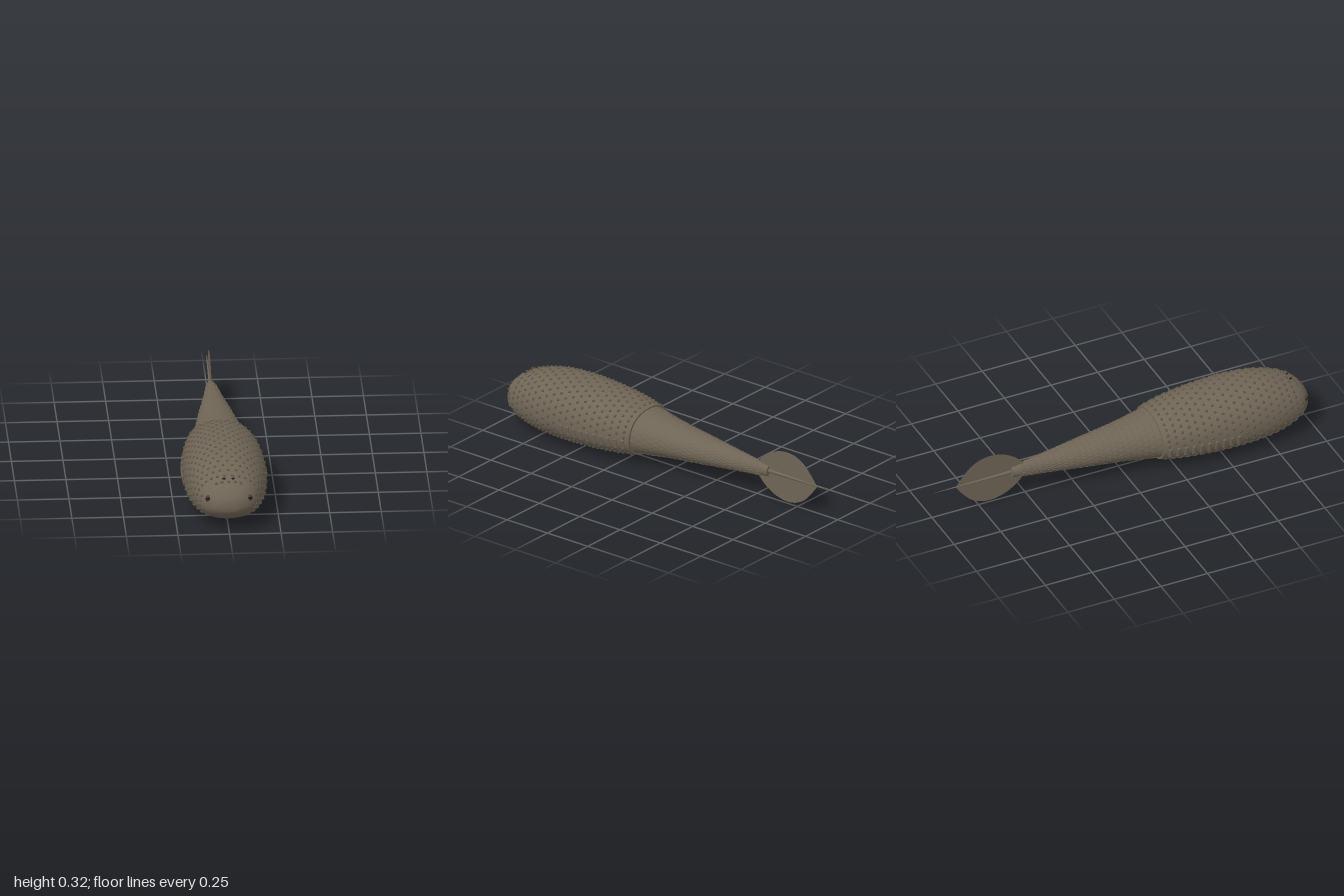
import * as THREE from 'three';
import { mergeGeometries } from 'three/addons/utils/BufferGeometryUtils.js';

const mat = (name, color, side = THREE.FrontSide) => {
  const m = new THREE.MeshStandardMaterial({ color, side });
  m.name = name;
  return m;
};

// Lofted surface from rows of [z, half width, top, bottom]
function makeSurface(rows, power) {
  const spline = pts => new THREE.CatmullRomCurve3(pts, false, 'catmullrom', 0.5);
  const upper = spline(rows.map(r => new THREE.Vector3(r[0], r[1], r[2])));
  const lower = spline(rows.map(r => new THREE.Vector3(r[0], r[3], 0)));
  const bend = v => Math.sign(v) * Math.abs(v) ** power;
  const point = (u, a) => {
    const p = upper.getPoint(u), low = lower.getPoint(u).y, mid = 0.14;
    const s = bend(Math.sin(a));
    return new THREE.Vector3(p.y * bend(Math.cos(a)), mid + s * (s > 0 ? p.z - mid : mid - low), p.x);
  };
  const findU = z => {
    let a = 0, b = 1;
    for (let i = 0; i < 30; i++) {
      const m = (a + b) / 2;
      if (upper.getPoint(m).x > z) a = m; else b = m;
    }
    return a;
  };
  // Orientation on the skin: x around, y backwards, z outwards
  const frame = (u, a) => {
    const e = 0.004;
    const around = point(u, a - e).sub(point(u, a + e)).normalize();
    const back = point(Math.min(1, u + e), a).sub(point(Math.max(0, u - e), a)).normalize();
    const out = around.clone().cross(back).normalize();
    back.copy(out).cross(around);
    return new THREE.Matrix4().makeBasis(around, back, out).setPosition(point(u, a));
  };
  return { point, findU, frame };
}

function loft(surface, nu, na) {
  const pos = [], idx = [];
  const add = p => pos.push(p.x, p.y, p.z) / 3 - 1;
  for (let i = 0; i <= nu; i++)
    for (let j = 0; j < na; j++) add(surface.point(i / nu, j / na * Math.PI * 2));
  for (let i = 0; i < nu; i++)
    for (let j = 0; j < na; j++) {
      const k = (j + 1) % na, a = i * na, b = a + na;
      idx.push(a + j, b + j, a + k, b + j, b + k, a + k);
    }
  // Flat rear cap
  const ring = pos.length / 3;
  for (let j = 0; j < na; j++) add(surface.point(1, j / na * Math.PI * 2));
  const end = surface.point(1, 0);
  const centre = add(new THREE.Vector3(0, 0.14, end.z));
  for (let j = 0; j < na; j++) idx.push(ring + (j + 1) % na, ring + j, centre);
  const g = new THREE.BufferGeometry();
  g.setAttribute('position', new THREE.Float32BufferAttribute(pos, 3));
  g.setIndex(idx);
  g.computeVertexNormals();
  return g;
}

export function createModel() {
  const model = new THREE.Group();
  const skin = mat('skin', 0x6f6556);
  const finMat = mat('fin skin', 0x6f6556, THREE.DoubleSide);
  const bumpMat = mat('tubercle brown', 0x5e5649);
  const dark = mat('dark opening', 0x1c1210);
  const eyeMat = mat('eye brown', 0x4a3a32);
  const add = (name, geo, m) => {
    const mesh = new THREE.Mesh(geo, m);
    mesh.name = name;
    model.add(mesh);
    return mesh;
  };

  // Head shield and tail
  const head = makeSurface([
    [1.0, 0.001, 0.141, 0.139], [0.994, 0.05, 0.175, 0.112], [0.975, 0.09, 0.207, 0.088],
    [0.945, 0.124, 0.236, 0.066], [0.9, 0.15, 0.262, 0.045], [0.82, 0.176, 0.29, 0.02],
    [0.72, 0.194, 0.309, 0.007], [0.58, 0.202, 0.315, 0.002], [0.42, 0.197, 0.306, 0.007],
    [0.28, 0.181, 0.29, 0.019], [0.17, 0.158, 0.267, 0.034]], 0.92);
  const tail = makeSurface([
    [0.22, 0.158, 0.268, 0.036], [0.1, 0.128, 0.25, 0.048], [0, 0.11, 0.233, 0.062],
    [-0.2, 0.08, 0.21, 0.08], [-0.4, 0.047, 0.188, 0.099], [-0.575, 0.022, 0.168, 0.114]], 0.95);
  add('headShield', loft(head, 60, 64), skin);
  add('tail', loft(tail, 30, 40), skin);

  // Staggered tubercles over the shield, leaving the face and belly bare
  const bumps = [];
  for (let i = 0; i < 22; i++) {
    const z = 0.965 - i * 0.0365, u = head.findU(z);
    for (let j = 0; j < 30; j++) {
      const a = (j + (i % 2) / 2) / 30 * Math.PI * 2;
      const p = head.point(u, a);
      if (Math.sin(a) < -0.83) continue;
      if (z > 0.88 && p.y < 0.235 && Math.abs(p.x) < 0.125) continue;
      if (z < 0.6 && p.y > 0.08 && p.y < 0.15) continue;
      bumps.push(new THREE.SphereGeometry(1, 8, 6).scale(0.0075, 0.0075, 0.0055)
        .applyMatrix4(head.frame(u, a)));
    }
  }
  add('tubercles', mergeGeometries(bumps), bumpMat);

  // Overlapping diamond scales on the tail
  const scales = [];
  for (let i = 0; i < 23; i++) {
    const z = 0.165 - i * 0.031, u = tail.findU(z), n = 26;
    const w = tail.point(u, 0).x;
    for (let j = 0; j < n; j++) {
      const a = (j + (i % 2) / 2) / n * Math.PI * 2;
      scales.push(new THREE.OctahedronGeometry(1).scale(w * 0.13 + 0.001, 0.03, 0.0025)
        .rotateX(0.13).applyMatrix4(tail.frame(u, a)));
    }
  }
  add('tailScales', mergeGeometries(scales), skin);

  for (const side of [1, -1]) {
    const label = side > 0 ? 'left' : 'right';
    // Row of upright gill flaps low on the flank
    const flaps = [];
    for (let i = 0; i < 10; i++) {
      const u = head.findU(0.555 - i * 0.039);
      const a = side > 0 ? -0.17 : Math.PI + 0.17;
      flaps.push(new THREE.CapsuleGeometry(0.009, 0.042, 4, 8).rotateZ(Math.PI / 2)
        .scale(1, 1.2, 0.65).applyMatrix4(head.frame(u, a)));
    }
    add(label + 'GillFlaps', mergeGeometries(flaps), skin);

    // Eye with a dark band, and nostril
    const eye = add(label + 'Eye', new THREE.SphereGeometry(1, 16, 12), eyeMat);
    eye.scale.set(0.013, 0.017, 0.012);
    eye.position.set(side * 0.101, 0.173, 0.956);
    const band = add(label + 'Pupil', new THREE.SphereGeometry(1, 16, 8), dark);
    band.scale.set(0.0135, 0.0065, 0.0135);
    band.position.set(side * 0.101, 0.175, 0.957);
    const nostril = add(label + 'Nostril', new THREE.SphereGeometry(1, 12, 8), dark);
    nostril.scale.set(0.009, 0.004, 0.009);
    nostril.position.set(side * 0.022, 0.257, 0.912);
    const rim = add(label + 'NostrilRim', new THREE.SphereGeometry(1, 12, 8), bumpMat);
    rim.scale.set(0.007, 0.004, 0.008);
    rim.position.set(side * 0.022, 0.262, 0.908);
  }

  // Leaf-shaped tail fin, drawn in (-z, y) and turned into the middle plane
  const half = [[0.5, 0.025], [0.54, 0.07], [0.59, 0.105], [0.64, 0.124], [0.69, 0.13],
    [0.74, 0.122], [0.79, 0.096], [0.83, 0.055], [0.87, 0.004]];
  const curve = pts => new THREE.SplineCurve(pts.map(p => new THREE.Vector2(...p))).getPoints(40);
  const outline = curve(half);
  const shape = new THREE.Shape([...outline, ...outline.map(p => new THREE.Vector2(p.x, -p.y)).reverse()]);
  const fin = add('tailFin', new THREE.ShapeGeometry(shape).rotateY(Math.PI / 2), finMat);
  fin.position.y = 0.141;

  // Long pointed spine through the fin
  const spine = add('tailSpine', new THREE.ConeGeometry(0.012, 0.5, 12).rotateX(-Math.PI / 2), skin);
  spine.position.set(0, 0.143, -0.75);
  return model;
}
